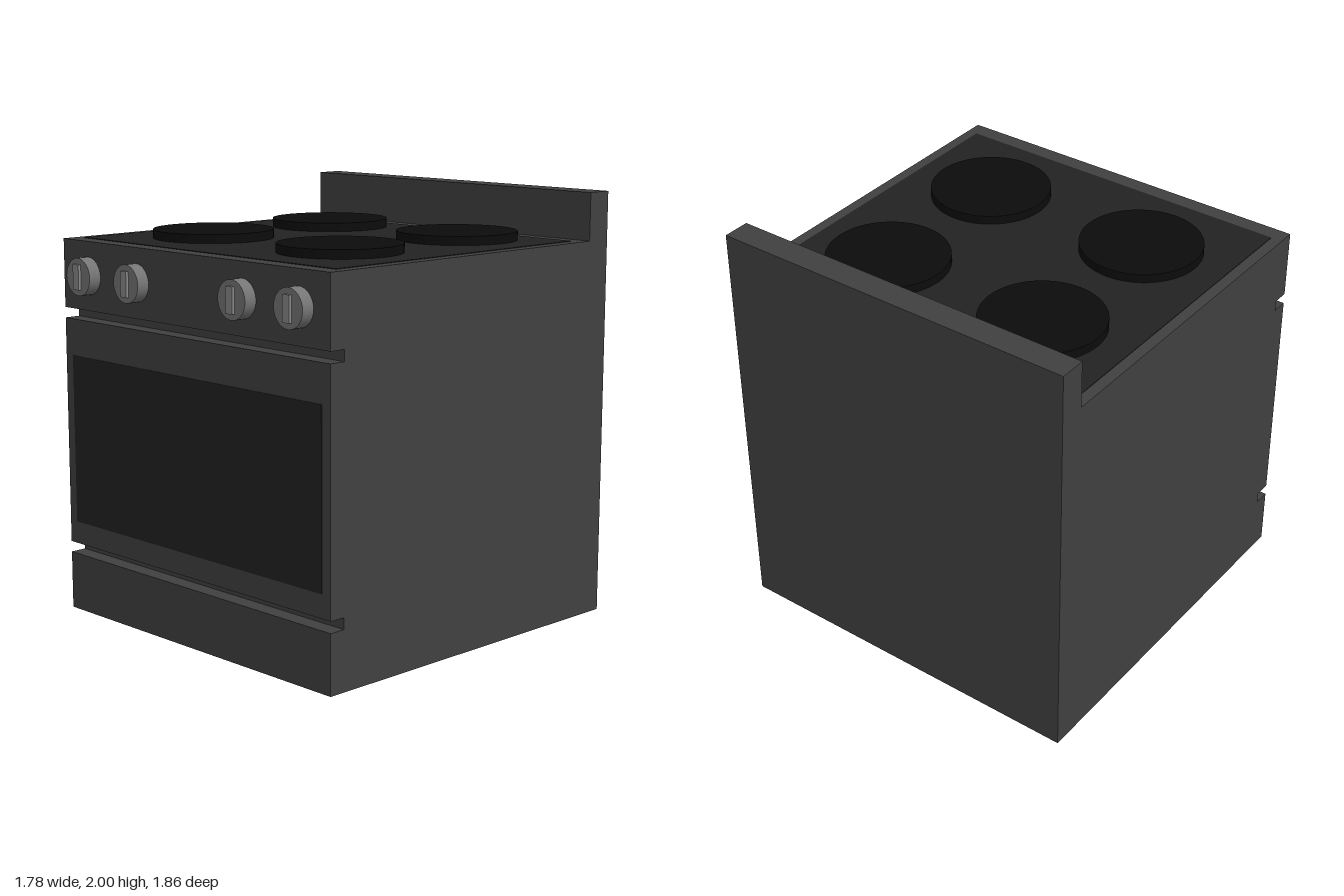
import * as THREE from 'three';

const mat = (color) => new THREE.MeshStandardMaterial({ color });

export function createModel() {
  const stove = new THREE.Group();
  stove.name = 'stove';
  const enamel = mat(0x404040), glass = mat(0x222222), iron = mat(0x0c0c0c);
  const knobGrey = mat(0x757575), pointerGrey = mat(0x8a8a8a);

  const add = (parent, name, geometry, material, x, y, z) => {
    const mesh = new THREE.Mesh(geometry, material);
    mesh.name = name;
    mesh.position.set(x, y, z);
    parent.add(mesh);
    return mesh;
  };

  // Body: side profile (z, y) with two front grooves and a raised back guard
  const width = 1.778, front = 0.853, groove = 0.775, back = -0.927, top = 1.778;
  const profile = [
    [back, 0], [front, 0],
    [front, 0.275], [groove, 0.275], [groove, 0.327], [front, 0.327],
    [front, 1.407], [groove, 1.407], [groove, 1.457], [front, 1.457],
    [front, top], [-0.799, top], [-0.799, 2], [back, 2],
  ].map(([z, y]) => new THREE.Vector2(-z, y));
  const bodyGeometry = new THREE.ExtrudeGeometry(new THREE.Shape(profile), { depth: width, bevelEnabled: false });
  bodyGeometry.translate(0, 0, -width / 2).rotateY(Math.PI / 2);
  add(stove, 'body', bodyGeometry, enamel, 0, 0, 0);

  // Oven window and glass cooktop, almost flush with the body
  add(stove, 'ovenWindow', new THREE.BoxGeometry(1.674, 0.8, 0.01), glass, 0, 0.834, front - 0.002);
  add(stove, 'cooktop', new THREE.BoxGeometry(1.674, 0.01, 1.5), glass, 0, top - 0.002, 0.022);

  // Four hot plates
  const plate = new THREE.CylinderGeometry(0.28, 0.28, 0.044, 64);
  for (const x of [-0.42, 0.42]) {
    for (const z of [-0.412, 0.34]) add(stove, 'hotPlate', plate, iron, x, top + 0.022, z);
  }

  // Control knobs with a raised pointer bar
  const dial = new THREE.CylinderGeometry(0.087, 0.087, 0.061, 32).rotateX(Math.PI / 2);
  const bar = new THREE.BoxGeometry(0.042, 0.117, 0.018);
  for (const x of [-0.703, -0.355, 0.355, 0.703]) {
    const knob = new THREE.Group();
    knob.name = 'knob';
    knob.position.set(x, 1.619, front);
    add(knob, 'dial', dial, knobGrey, 0, 0, 0.0305);
    add(knob, 'pointer', bar, pointerGrey, 0, 0, 0.066);
    stove.add(knob);
  }

  return stove;
}
